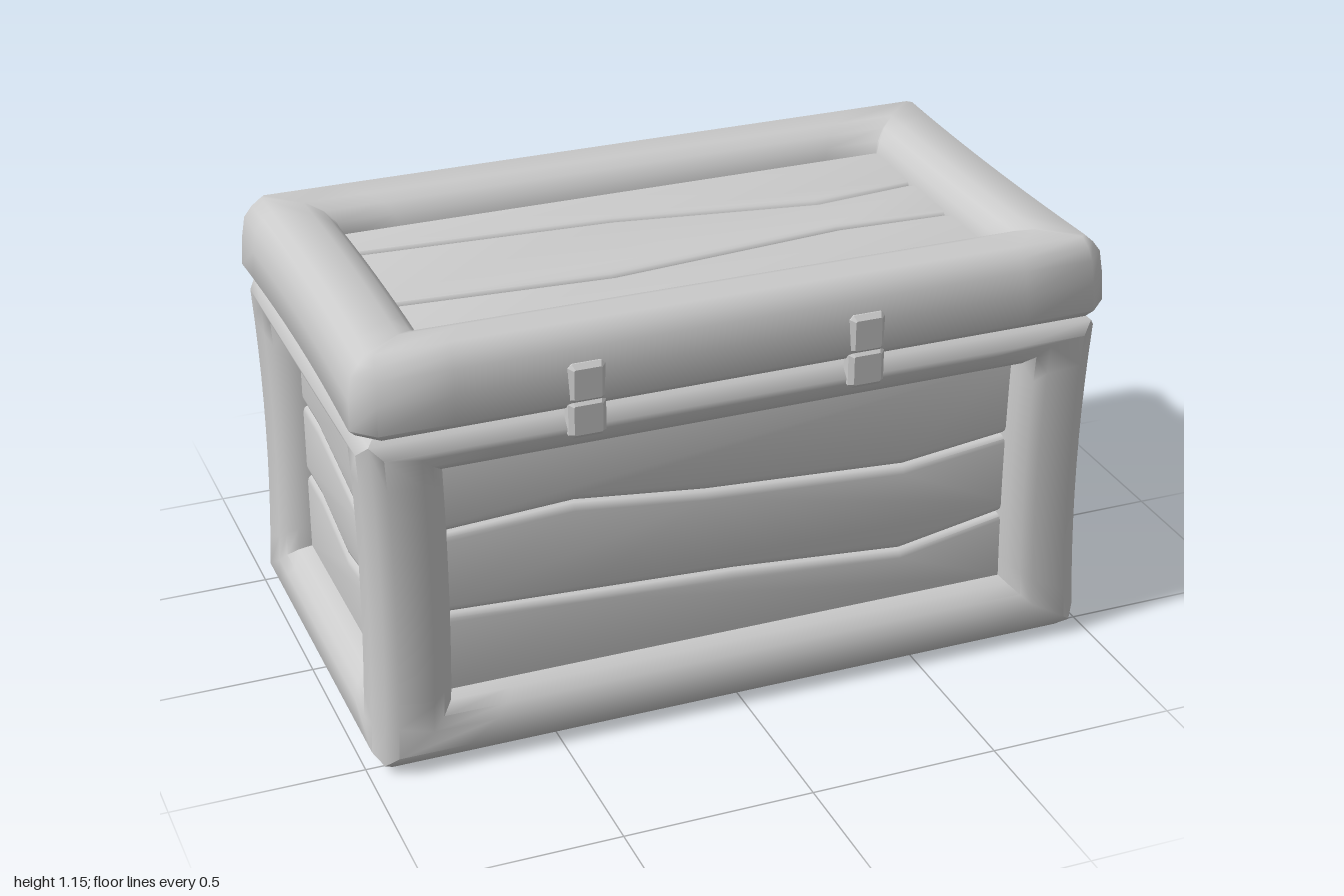
import * as THREE from 'three';
import { mergeGeometries, toCreasedNormals } from 'three/addons/utils/BufferGeometryUtils.js';

const material = new THREE.MeshStandardMaterial({ color: 0xcccccc });

function addMesh(parent, geometry, name, crease = 1.0) {
  const mesh = new THREE.Mesh(toCreasedNormals(geometry, crease), material);
  mesh.name = name;
  parent.add(mesh);
  return mesh;
}

// Counter-clockwise rectangle [u0, u1, v0, v1], corners cut by c, each side subdivided
function rectLoop([u0, u1, v0, v1], c = 0, n = 10) {
  const corners = [
    [u0 + c, v0], [u1 - c, v0], [u1, v0 + c], [u1, v1 - c],
    [u1 - c, v1], [u0 + c, v1], [u0, v1 - c], [u0, v0 + c],
  ];
  const pts = [];
  for (let s = 0; s < 4; s++) {
    const a = corners[s * 2], b = corners[s * 2 + 1];
    const count = c > 0 ? n : n - 1;
    for (let i = 0; i <= count; i++) {
      const t = i / n;
      pts.push([a[0] + (b[0] - a[0]) * t, a[1] + (b[1] - a[1]) * t]);
    }
  }
  return pts;
}

// Skin a list of equal-length closed loops of 3D points
function loft(loops, flip = false) {
  const n = loops[0].length, index = [];
  for (let r = 0; r < loops.length - 1; r++) {
    for (let i = 0; i < n; i++) {
      const j = (i + 1) % n;
      const a = r * n + i, b = r * n + j, c = (r + 1) * n + j, d = (r + 1) * n + i;
      index.push(...(flip ? [a, c, b, a, d, c] : [a, b, c, a, c, d]));
    }
  }
  const g = new THREE.BufferGeometry();
  g.setAttribute('position', new THREE.Float32BufferAttribute(loops.flat(2), 3));
  g.setIndex(index);
  return g;
}

function warp(geometry, rule) {
  const p = geometry.attributes.position;
  for (let i = 0; i < p.count; i++) p.setXYZ(i, ...rule(p.getX(i), p.getY(i), p.getZ(i)));
  return geometry;
}

// One face of the padded box frame: rounded rim running down into a rectangular opening
function frameFace(min, max, inMin, inMax, axis, sign) {
  const u = (axis + 1) % 3, v = (axis + 2) % 3;
  const surface = sign > 0 ? max[axis] : min[axis];
  const full = Math.abs(surface - (sign > 0 ? inMax[axis] : inMin[axis]));
  const outer = a => [min[u] + a, max[u] - a, min[v] + a, max[v] - a];
  const inner = a => [inMin[u] - a, inMax[u] + a, inMin[v] - a, inMax[v] + a];
  const rings = [
    [outer(0.026), 0.026], [outer(0.055), 0], [inner(0.07), 0.004], [inner(0.04), 0.018],
    [inner(0.015), 0.045], [inner(0), 0.085], [inner(0), full],
  ];
  const loops = rings.map(([rect, depth]) => rectLoop(rect).map(([a, b]) => {
    const p = [0, 0, 0];
    p[u] = a; p[v] = b; p[axis] = surface - sign * depth;
    return p;
  }));
  return loft(loops, sign < 0);
}

function createBody() {
  const min = [-0.988, 0, -0.548], max = [0.988, 0.947, 0.568];
  const inMin = [-0.77, 0.18, -0.337], inMax = [0.77, 0.805, 0.357];
  const faces = [];
  for (let axis = 0; axis < 3; axis++)
    for (const sign of [-1, 1]) faces.push(frameFace(min, max, inMin, inMax, axis, sign));
  // slight waist at mid height
  return warp(mergeGeometries(faces), (x, y, z) => {
    const k = 1 - ((y - 0.47) / 0.47) ** 2;
    return [x * (1 - 0.017 * k), y, z * (1 - 0.015 * k)];
  });
}

function createLidFrame() {
  const outer = a => [-0.557 + a, 0.577 - a, -1 + a, 1 - a];
  const inner = a => [-0.34 - a, 0.35 + a, -0.767 - a, 0.767 + a];
  const rings = [
    [inner(0), 0.003, 0.955], [outer(0.05), 0.03, 0.945], [outer(0.018), 0.05, 0.945],
    [outer(0), 0.055, 0.965], [outer(0.004), 0.055, 1.04], [outer(0.013), 0.05, 1.1],
    [outer(0.034), 0.03, 1.128], [outer(0.058), 0.012, 1.15], [inner(0.08), 0.003, 1.147],
    [inner(0.04), 0.003, 1.132], [inner(0.015), 0.003, 1.105], [inner(0), 0.003, 1.065],
    [inner(0), 0.003, 0.955],
  ];
  const loops = rings.map(([rect, c, y]) => rectLoop(rect, c).map(([z, x]) => [x, y, z]));
  return warp(loft(loops), (x, y, z) => [x * (1 - 0.012 * (1 - Math.min(1, (z / 0.51) ** 2))), y, z]);
}

// Bevelled slab from an outline, its front lying on z = 0
function slab(outline, thickness, bevel, rise, segments) {
  const shape = new THREE.Shape(outline.map(p => new THREE.Vector2(...p)));
  return new THREE.ExtrudeGeometry(shape, {
    depth: thickness - 2 * rise, bevelEnabled: true, bevelSize: bevel, bevelOffset: -bevel,
    bevelThickness: rise, bevelSegments: segments,
  }).translate(0, 0, rise - thickness);
}

// Three planks divided by two crooked seams
function createPanel(name, bottom, top, lowSeam, highSeam) {
  const group = new THREE.Group();
  group.name = name;
  const tuck = 0.035, gap = 0.002;
  const extend = seam => seam.map(([x, y], i) =>
    [i === 0 ? x - tuck : i === seam.length - 1 ? x + tuck : x, y]);
  const x0 = lowSeam[0][0], x1 = lowSeam[lowSeam.length - 1][0];
  const flat = y => [[x0, y], [x1, y]];
  const edges = [flat(bottom - tuck), lowSeam, highSeam, flat(top + tuck)].map(extend);
  for (let i = 0; i < 3; i++) {
    const lower = edges[i].map(([x, y]) => [x, y + gap]);
    const upper = edges[i + 1].map(([x, y]) => [x, y - gap]).reverse();
    addMesh(group, slab([...lower, ...upper], 0.05, 0.022, 0.02, 3), 'plank', 0.6);
  }
  return group;
}

// Small fastener plate with chamfered edges
function createPlate(name, width, height, thickness) {
  const w = width / 2, h = height / 2, c = 0.01;
  const outline = [[-w + c, -h], [w - c, -h], [w, -h + c], [w, h - c],
    [w - c, h], [-w + c, h], [-w, h - c], [-w, -h + c]];
  const group = new THREE.Group();
  group.name = name;
  addMesh(group, slab(outline, thickness, 0.012, 0.012, 1), 'plate', 0.4);
  return group;
}

export function createModel() {
  const model = new THREE.Group();
  model.name = 'chest';

  addMesh(model, createBody(), 'bodyFrame');
  addMesh(model, createLidFrame(), 'lidFrame');

  // Plank panels
  const front = createPanel('frontPanel', 0.18, 0.805,
    [[-0.77, 0.395], [-0.4, 0.375], [0, 0.355], [0.47, 0.315], [0.77, 0.375]],
    [[-0.77, 0.62], [-0.43, 0.64], [-0.08, 0.6], [0.47, 0.565], [0.77, 0.605]]);
  front.position.z = 0.487;

  const back = createPanel('backPanel', 0.18, 0.805,
    [[-0.77, 0.41], [-0.42, 0.36], [0.15, 0.4], [0.77, 0.44]],
    [[-0.77, 0.63], [-0.45, 0.65], [0.13, 0.57], [0.45, 0.6], [0.77, 0.62]]);
  back.position.z = -0.467;
  back.rotation.y = Math.PI;
  model.add(front, back);

  for (const side of [1, -1]) {
    const panel = createPanel(side > 0 ? 'leftPanel' : 'rightPanel', 0.18, 0.805,
      [[-0.35, 0.4], [-0.19, 0.4], [0.05, 0.35], [0.35, 0.39]],
      [[-0.35, 0.61], [-0.19, 0.61], [0.18, 0.545], [0.35, 0.595]]);
    panel.position.x = side * 0.9;
    panel.rotation.y = side * Math.PI / 2;
    model.add(panel);
  }

  const top = createPanel('lidPanel', -0.35, 0.34,
    [[-0.77, -0.11], [-0.2, -0.15], [0.45, -0.085], [0.77, -0.1]],
    [[-0.77, 0.22], [-0.08, 0.18], [0.47, 0.09], [0.77, 0.125]]);
  top.position.y = 1.075;
  top.rotation.x = -Math.PI / 2;
  model.add(top);

  // Two-leaf hinges on the front
  for (const x of [-0.425, 0.31]) {
    const upper = createPlate('hingeUpperLeaf', 0.095, 0.105, 0.05);
    upper.position.set(x, 1.013, 0.585);
    const lower = createPlate('hingeLowerLeaf', 0.097, 0.102, 0.05);
    lower.position.set(x, 0.918, 0.585);
    model.add(upper, lower);
  }

  // Clasp on the back
  const clasp = createPlate('clasp', 0.19, 0.195, 0.06);
  clasp.position.set(-0.005, 0.968, -0.585);
  clasp.rotation.y = Math.PI;
  model.add(clasp);

  return model;
}
